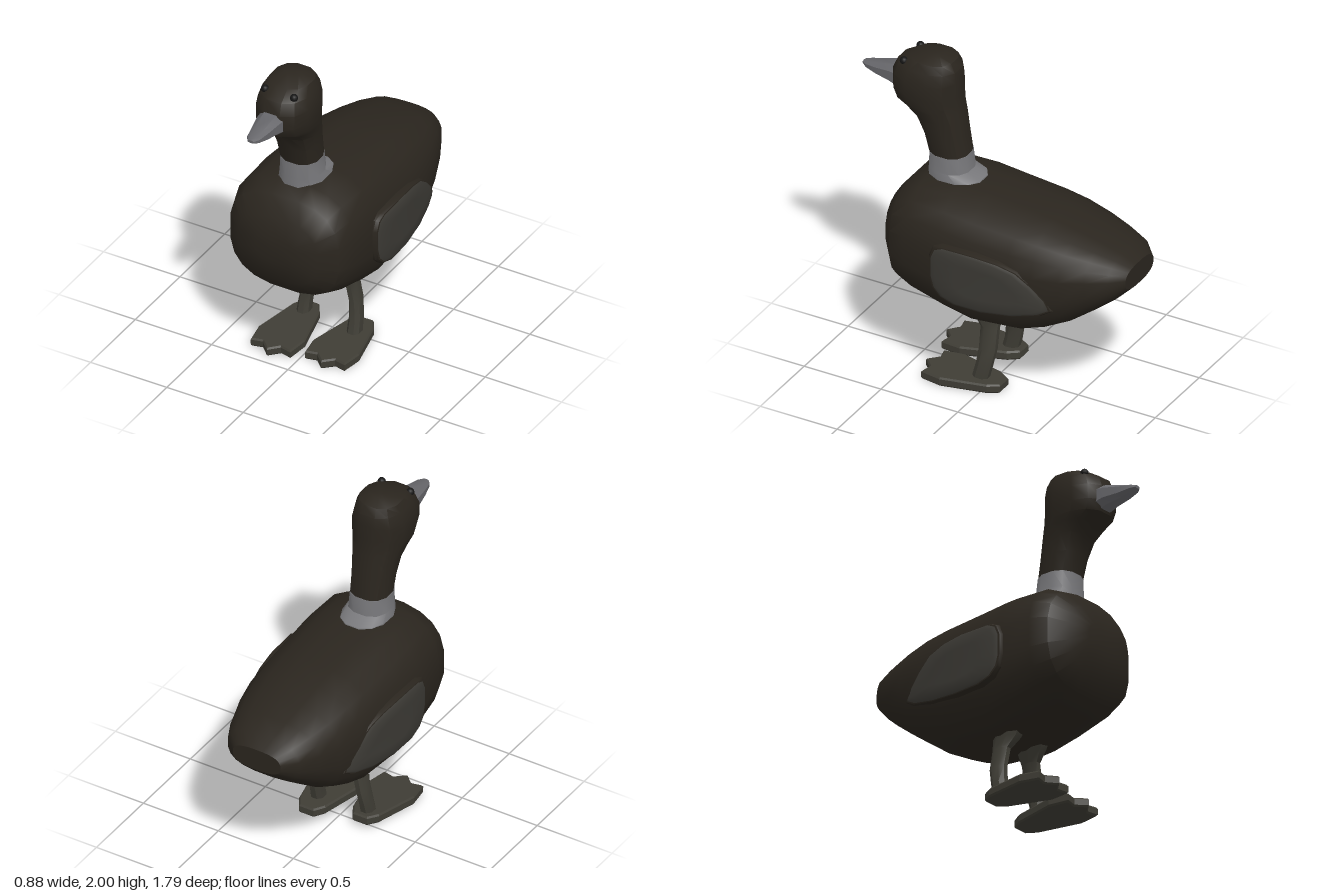
import * as THREE from 'three';
import { toCreasedNormals, mergeVertices } from 'three/addons/utils/BufferGeometryUtils.js';

const paint = (color) => new THREE.MeshStandardMaterial({ color });
const plumage = paint(0x2a251e), wingGrey = paint(0x3b3934), pale = paint(0x77777a);
const billGrey = paint(0x66666a), legGrey = paint(0x3f3d35), eyeBlack = paint(0x151515);

// Rounded-square ring: calls place(u, v) with u, v in -1..1
function ring(n, power, place) {
  return Array.from({ length: n }, (_, i) => {
    const a = ((i + 0.5) / n) * Math.PI * 2;
    const bend = (t) => Math.sign(t) * Math.abs(t) ** (2 / power);
    return place(bend(Math.cos(a)), bend(Math.sin(a)));
  });
}

// Skin a list of equal-length rings, cap both ends and face outwards
function loft(rings, crease = 0.6) {
  const n = rings[0].length, pos = [], idx = [];
  rings.forEach((r) => r.forEach((p) => pos.push(...p)));
  for (let k = 0; k < rings.length - 1; k++) {
    for (let i = 0; i < n; i++) {
      const a = k * n + i, b = k * n + ((i + 1) % n);
      idx.push(a, b, b + n, a, b + n, a + n);
    }
  }
  [0, rings.length - 1].forEach((k) => {
    const c = pos.length / 3;
    for (let d = 0; d < 3; d++) pos.push(rings[k].reduce((s, p) => s + p[d], 0) / n);
    for (let i = 0; i < n; i++) {
      const a = k * n + i, b = k * n + ((i + 1) % n);
      idx.push(...(k ? [c, a, b] : [c, b, a]));
    }
  });
  const at = (i) => new THREE.Vector3().fromArray(pos, i * 3);
  let volume = 0;
  for (let i = 0; i < idx.length; i += 3) {
    volume += at(idx[i]).dot(at(idx[i + 1]).cross(at(idx[i + 2])));
  }
  if (volume < 0) idx.reverse();
  const geo = new THREE.BufferGeometry();
  geo.setAttribute('position', new THREE.Float32BufferAttribute(pos, 3));
  geo.setIndex(idx);
  return toCreasedNormals(mergeVertices(geo), crease);
}

function part(parent, name, geometry, material) {
  const mesh = new THREE.Mesh(geometry, material);
  mesh.name = name;
  parent.add(mesh);
  return mesh;
}

// Body sections: z, bottom, top, half width
const BODY = [
  [0.645, 0.82, 0.99, 0.13], [0.61, 0.68, 1.1, 0.26], [0.53, 0.575, 1.2, 0.36],
  [0.42, 0.53, 1.25, 0.395], [0.2, 0.47, 1.255, 0.41], [0.02, 0.43, 1.24, 0.41],
  [-0.25, 0.455, 1.215, 0.4], [-0.4, 0.51, 1.19, 0.385], [-0.56, 0.595, 1.15, 0.35],
  [-0.7, 0.7, 1.11, 0.3], [-0.82, 0.795, 1.065, 0.24], [-0.895, 0.87, 1.01, 0.16],
];

// Head and neck sections: y, back z, front z, half width
const NECK = [
  [1.38, 0.21, 0.45, 0.12], [1.5, 0.23, 0.482, 0.125], [1.6, 0.245, 0.53, 0.135],
  [1.66, 0.255, 0.6, 0.148], [1.7, 0.26, 0.665, 0.158], [1.76, 0.265, 0.688, 0.166],
  [1.85, 0.268, 0.685, 0.17], [1.92, 0.275, 0.655, 0.15], [1.97, 0.305, 0.57, 0.125],
  [2.0, 0.37, 0.46, 0.06],
];
const COLLAR = [
  [1.2, 0.1, 0.46, 0.145], [1.25, 0.115, 0.458, 0.14],
  [1.285, 0.195, 0.455, 0.127], [1.385, 0.208, 0.452, 0.122],
];
const upright = (rows) => loft(rows.map(([y, back, front, w]) =>
  ring(12, 2.4, (u, v) => [u * w - 0.005, y, (back + front) / 2 + (v * (front - back)) / 2])));

// Bill sections: z, bottom, top, half width
const BILL = [
  [0.64, 1.7, 1.86, 0.085], [0.7, 1.725, 1.853, 0.078], [0.8, 1.745, 1.825, 0.058],
  [0.87, 1.768, 1.808, 0.042], [0.9, 1.782, 1.8, 0.02],
];
const lengthwise = (rows, n, power, cx) => loft(rows.map(([z, lo, hi, w]) =>
  ring(n, power, (u, v) => [u * w + cx, (lo + hi) / 2 + (v * (hi - lo)) / 2, z])));

// Wing outline in z, y
const WING = [
  [0.24, 0.8], [0.24, 0.93], [0.215, 0.99], [0.16, 1.015], [-0.05, 1.015], [-0.2, 1.0],
  [-0.32, 0.965], [-0.42, 0.89], [-0.5, 0.81], [-0.53, 0.745], [-0.46, 0.705],
  [-0.3, 0.665], [-0.1, 0.645], [0.08, 0.65], [0.17, 0.68], [0.22, 0.73],
];
// Rings run from inside the body out to the rounded face: scale, inset from face
function wing(side, layers) {
  const bulge = (z) => 0.44 - 0.2 * (z - 0.1) ** 2;
  return loft(layers.map(([s, inset]) => WING.map(([z, y]) => {
    const zz = -0.12 + (z + 0.12) * s;
    return [side * (bulge(zz) - inset), 0.83 + (y - 0.83) * s, zz];
  })), 0.7);
}

// Leg sections: y, centre x, centre z, half width, half depth
const LEG = [
  [0.5, 0.105, 0.03, 0.08, 0.11], [0.44, 0.11, 0.025, 0.06, 0.09],
  [0.375, 0.13, 0.0, 0.038, 0.058], [0.25, 0.155, -0.002, 0.037, 0.056],
  [0.15, 0.166, 0.015, 0.04, 0.052], [0.05, 0.167, 0.04, 0.045, 0.052],
];

// Webbed foot, heel at z = -0.11, with scalloped toes
function footGeometry() {
  const half = [[0.045, -0.11], [0.085, -0.05], [0.15, 0.22], [0.13, 0.34], [0.06, 0.325]];
  const outline = [...half, [0, 0.38], ...half.map(([x, z]) => [-x, z]).reverse()];
  const shape = new THREE.Shape(outline.map(([x, z]) => new THREE.Vector2(x * 0.95, z)));
  const geo = new THREE.ExtrudeGeometry(shape, {
    depth: 0.036, bevelEnabled: true, bevelThickness: 0.01, bevelSize: 0.008, bevelSegments: 1,
  });
  return geo.rotateX(Math.PI / 2).translate(0, 0.046, 0);
}

export function createModel() {
  const duck = new THREE.Group();
  duck.name = 'duck';

  part(duck, 'body', lengthwise(BODY, 20, 2.7, -0.003), plumage);
  part(duck, 'neckCollar', upright(COLLAR), pale);
  part(duck, 'headAndNeck', upright(NECK), plumage);
  part(duck, 'bill', lengthwise(BILL, 8, 2.6, -0.01), billGrey);

  for (const side of [1, -1]) {
    const label = side > 0 ? 'left' : 'right';

    const eye = part(duck, label + 'Eye', new THREE.SphereGeometry(0.024, 12, 8), eyeBlack);
    eye.position.set(side * 0.095 - 0.005, 1.94, 0.585);

    // Dark rim with a lighter panel set on it
    part(duck, label + 'WingRim', wing(side, [[1, 0.12], [1, 0.03], [0.97, 0.012], [0.9, 0.008]]), plumage);
    part(duck, label + 'WingPanel', wing(side, [[0.94, 0.04], [0.94, 0.01], [0.86, 0], [0.5, 0]]), wingGrey);

    const leg = LEG.map(([y, x, z, w, d]) =>
      ring(8, 2.3, (u, v) => [side * x + u * w * 0.95, y, z + v * d]));
    part(duck, label + 'Leg', loft(leg), legGrey);

    // The right foot steps forward with its heel lifted
    const foot = part(duck, label + 'Foot', footGeometry(), legGrey);
    foot.position.set(side * 0.162 - 0.003, side > 0 ? 0.005 : 0.034, side > 0 ? 0.01 : 0.062);
    if (side < 0) foot.rotation.x = 0.06;
  }
  return duck;
}
